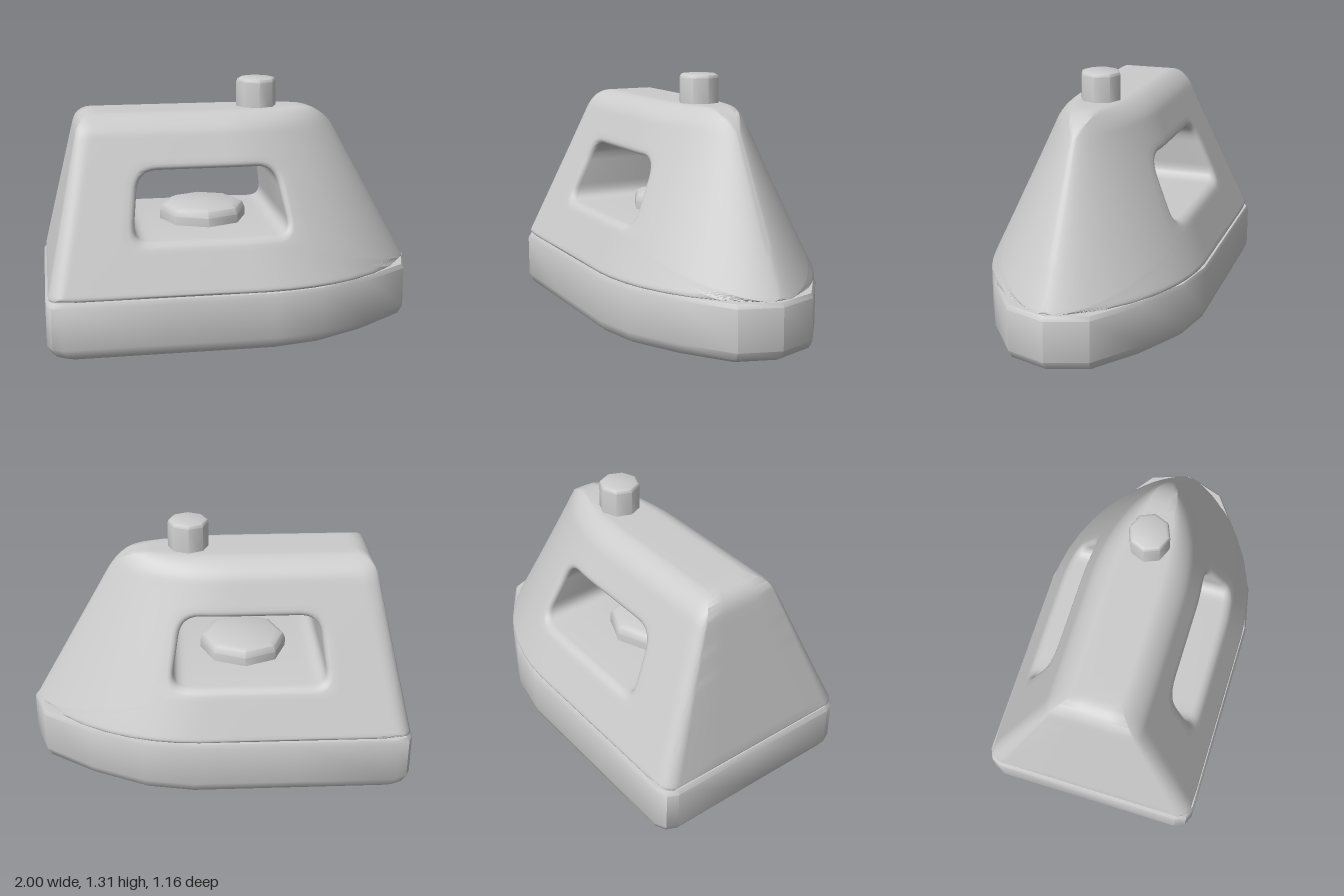
import * as THREE from 'three';
import { toCreasedNormals } from 'three/addons/utils/BufferGeometryUtils.js';

const material = new THREE.MeshStandardMaterial({ color: 0xcccccc });

function addMesh(group, name, geometry, crease) {
  const mesh = new THREE.Mesh(toCreasedNormals(geometry, crease), material);
  mesh.name = name;
  group.add(mesh);
  return mesh;
}

const vectors = (list) => list.map(([x, y]) => new THREE.Vector2(x, y));

// Sole plate: a lathe whose round section is replaced by the pointed plan outline
function soleGeometry() {
  const side = [[1, 0], [0.93, -0.21], [0.68, -0.39], [0.4, -0.53], [0.15, -0.58],
    [-0.4, -0.58], [-0.92, -0.58], [-0.975, -0.555], [-1, -0.5]];
  const outline = [...side, [-1, 0], ...side.slice(1).reverse().map(([x, z]) => [x, -z])];
  const profile = vectors([[0, 0], [0.94, 0], [0.975, 0.018], [1, 0.06], [1, 0.275], [0.985, 0.297], [0.92, 0.3], [0, 0.3]]);
  const geometry = new THREE.LatheGeometry(profile, outline.length);
  const pos = geometry.attributes.position;
  for (let i = 0; i < pos.count; i++) {
    const [x, z] = outline[Math.floor(i / profile.length) % outline.length];
    const p = profile[i % profile.length];
    pos.setXYZ(i, x * p.x, p.y, z * p.x);
  }
  return geometry;
}

// Closed contour of a quad with rounded corners, always with the same point count
function roundedQuad(corners, radii) {
  const c = vectors(corners);
  const toward = (i, j) => c[j].clone().sub(c[i]).setLength(radii[i]).add(c[i]);
  const points = [];
  for (let i = 0; i < 4; i++) {
    const prev = (i + 3) % 4, next = (i + 1) % 4;
    const end = toward(i, next), nextStart = toward(next, i);
    points.push(...new THREE.QuadraticBezierCurve(toward(i, prev), c[i], end).getPoints(7));
    for (let k = 1; k < 16; k++) points.push(end.clone().lerp(nextStart, k / 16));
  }
  return points;
}

// Half width of the tapering body at a point of its side profile
const BOTTOM = 0.3, TOP = 1.16;
const rounding = (d, r) => (d >= r ? 0 : 1 - Math.sqrt(1 - (1 - Math.max(d, 0) / r) ** 2));
function halfWidth(x, y) {
  const v = (y - BOTTOM) / (TOP - BOTTOM);
  const back = -0.99 + 0.19 * v, nose = 0.98 - 0.48 * v;
  const u = THREE.MathUtils.clamp((x - back) / (nose - back), 0, 1);
  const t = Math.max(0, (u - 0.55) / 0.45);
  const plan = Math.pow(1 - t * t, 0.67);
  return (0.575 - 0.37 * v) * plan
    * (1 - 0.45 * rounding(TOP - y, 0.1))
    * (1 - 0.04 * rounding(y - BOTTOM, 0.025))
    * (1 - 0.15 * rounding(x - back, 0.08));
}

// Body: contours running from the handle opening, over the side, round to the other side
function bodyGeometry() {
  const outer = roundedQuad([[-0.99, BOTTOM], [0.98, BOTTOM], [0.5, TOP], [-0.8, TOP]], [0.02, 0.02, 0.16, 0.1]);
  const opening = (e) => roundedQuad(
    [[-0.555 - e, 0.56 - e], [0.25 + e, 0.56 - e], [0.19 + e, 0.89 + e], [-0.515 - e, 0.89 + e]],
    [0.08 + e, 0.08 + e, 0.1 + e, 0.1 + e]);
  const half = [];
  const addRow = (points, depth) => half.push(points.map((p) => [p.x, p.y, depth(halfWidth(p.x, p.y))]));

  // Tunnel wall and rounded rim
  addRow(opening(0), () => 0);
  const rim = 0.035;
  for (let i = 0; i <= 4; i++) {
    const a = (i / 4) * Math.PI / 2;
    addRow(opening(rim * (1 - Math.cos(a))), (w) => w - rim * (1 - Math.sin(a)));
  }
  // Side, with rows closer together at the outer edge
  const inner = opening(rim);
  for (let i = 1; i <= 20; i++) {
    const s = 1 - (1 - i / 20) ** 2;
    addRow(inner.map((p, k) => p.clone().lerp(outer[k], s)), (w) => w);
  }
  // Top, back and underside
  addRow(outer, (w) => w * 0.5);
  addRow(outer, () => 0);

  const mirrored = half.slice(0, -1).reverse().map((row) => row.map(([x, y, z]) => [x, y, -z]));
  const rows = [...half, ...mirrored];
  const n = outer.length, index = [];
  for (let r = 0; r < rows.length - 1; r++) {
    for (let k = 0; k < n; k++) {
      const a = r * n + k, d = r * n + (k + 1) % n;
      index.push(a, a + n, d + n, a, d + n, d);
    }
  }
  const geometry = new THREE.BufferGeometry();
  geometry.setAttribute('position', new THREE.Float32BufferAttribute(rows.flat(2), 3));
  geometry.setIndex(index);
  return geometry;
}

// Eight-sided button with a bevelled upper edge
function buttonGeometry(radius, height, bevel) {
  return new THREE.LatheGeometry(vectors([[0, 0], [radius, 0], [radius, height - bevel],
    [radius - bevel * 0.3, height - bevel * 0.3], [radius - bevel, height], [0, height]]), 8);
}

export function createModel() {
  const group = new THREE.Group();
  group.name = 'iron';
  addMesh(group, 'solePlate', soleGeometry(), 0.7);
  addMesh(group, 'body', bodyGeometry(), 0.7);
  addMesh(group, 'topKnob', buttonGeometry(0.106, 0.19, 0.02), 0.8).position.set(0.145, 1.12, 0);
  addMesh(group, 'handleDial', buttonGeometry(0.23, 0.11, 0.045), 0.8).position.set(-0.145, 0.54, 0);
  return group;
}
